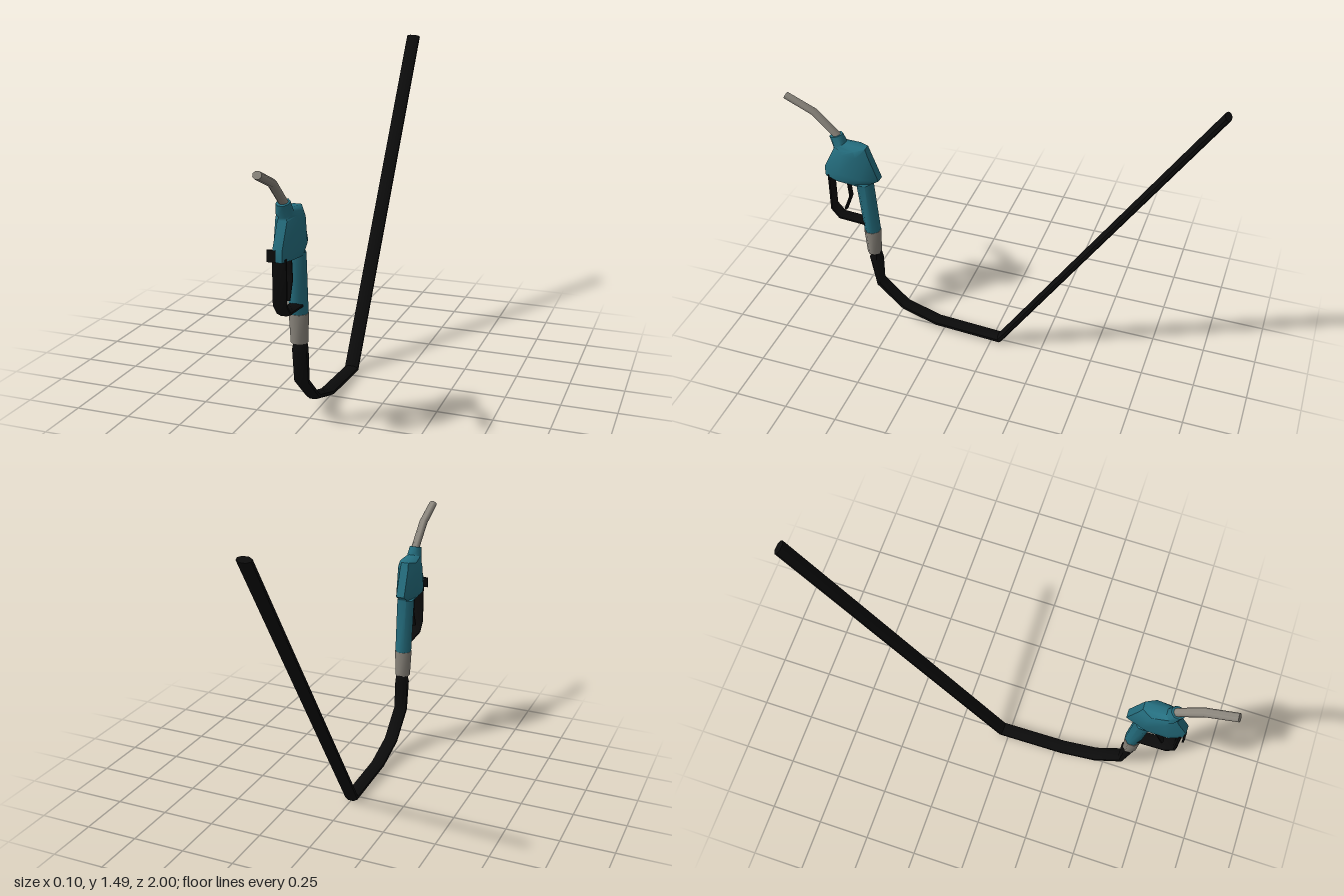
import * as THREE from 'three';
import { toCreasedNormals } from 'three/addons/utils/BufferGeometryUtils.js';

const SIDES = 8;

// Skin a row of octagonal rings. Each ring: [frontZ, frontY, backZ, backY, halfWidth]
function loft(name, rings, material, crease = 0.9) {
  const pos = [], index = [];
  const k = 1 / Math.cos(Math.PI / SIDES);
  for (const [fz, fy, bz, by, hx] of rings) {
    for (let j = 0; j < SIDES; j++) {
      const a = ((j + 0.5) / SIDES) * Math.PI * 2;
      const t = (Math.cos(a) * k) / 2;
      pos.push(Math.sin(a) * k * hx, (fy + by) / 2 + (fy - by) * t, (fz + bz) / 2 + (fz - bz) * t);
    }
  }
  for (let i = 0; i < rings.length - 1; i++) {
    for (let j = 0; j < SIDES; j++) {
      const a = i * SIDES + j, b = i * SIDES + ((j + 1) % SIDES);
      index.push(a, b, b + SIDES, a, b + SIDES, a + SIDES);
    }
  }
  // End caps
  const last = (rings.length - 1) * SIDES;
  for (let j = 1; j < SIDES - 1; j++) {
    index.push(0, j + 1, j, last, last + j, last + j + 1);
  }
  const geo = new THREE.BufferGeometry();
  geo.setAttribute('position', new THREE.Float32BufferAttribute(pos, 3));
  geo.setIndex(index);
  const mesh = new THREE.Mesh(toCreasedNormals(geo, crease), material);
  mesh.name = name;
  return mesh;
}

// Mitred rings along a path in the side plane. Each point: [z, y, halfThickness, halfWidth]
function pathRings(points) {
  const dir = (p, q) => new THREE.Vector2(q[0] - p[0], q[1] - p[1]).normalize();
  return points.map((p, i) => {
    const d1 = dir(points[Math.max(i - 1, 0)], points[Math.max(i, 1)]);
    const n = points.length - 1;
    const d2 = dir(points[Math.min(i, n - 1)], points[Math.min(i + 1, n)]);
    const d = d1.clone().add(d2).normalize();
    const t = p[2] / d.dot(d1);
    return [p[0] + d.y * t, p[1] - d.x * t, p[0] - d.y * t, p[1] + d.x * t, p[3]];
  });
}

export function createModel() {
  const mat = (name, color) => {
    const m = new THREE.MeshStandardMaterial({ color });
    m.name = name;
    return m;
  };
  const teal = mat('teal', 0x256f80);
  const black = mat('black', 0x0b0b0b);
  const metal = mat('metal', 0x8a857c);

  const model = new THREE.Group();
  model.name = 'fuelNozzle';

  // Grip flowing into the wide housing and the spout neck
  model.add(loft('gripAndHousing', [
    [0.642, 0.522, 0.571, 0.522, 0.037],
    [0.667, 0.785, 0.592, 0.795, 0.039],
    [0.82, 0.803, 0.59, 0.803, 0.046],
    [0.82, 0.855, 0.55, 0.828, 0.05],
    [0.768, 0.958, 0.595, 0.95, 0.05],
    [0.766, 0.965, 0.608, 0.99, 0.044],
    [0.768, 0.972, 0.71, 1.0, 0.034],
    [0.785, 1.023, 0.725, 1.04, 0.027],
  ], teal));

  // Metal collar under the grip
  model.add(loft('collar', [
    [0.636, 0.393, 0.574, 0.393, 0.034],
    [0.645, 0.525, 0.57, 0.525, 0.039],
  ], metal));

  // Bent spout
  model.add(loft('spout', pathRings([
    [0.735, 1.015, 0.016, 0.019],
    [0.858, 1.132, 0.016, 0.019],
    [0.993, 1.193, 0.016, 0.018],
  ]), metal));

  // Hand guard and trigger
  model.add(loft('handGuard', pathRings([
    [0.8, 0.815, 0.01, 0.03],
    [0.8, 0.62, 0.01, 0.03],
    [0.763, 0.575, 0.01, 0.03],
    [0.625, 0.566, 0.01, 0.03],
  ]), black));
  model.add(loft('trigger', pathRings([
    [0.715, 0.81, 0.007, 0.016],
    [0.706, 0.7, 0.007, 0.016],
    [0.737, 0.62, 0.007, 0.016],
  ]), black));

  // Small dark plate on the lower front of the housing
  const plate = new THREE.Mesh(new THREE.BoxGeometry(0.038, 0.05, 0.008), black);
  plate.name = 'guardMount';
  plate.position.set(-0.026, 0.828, 0.818);
  model.add(plate);

  // Hose with its thicker sleeve below the collar
  model.add(loft('hose', pathRings([
    [0.593, 0.4, 0.019, 0.026],
    [0.597, 0.36, 0.031, 0.032],
    [0.583, 0.212, 0.018, 0.032],
    [0.455, 0.09, 0.016, 0.032],
    [0.285, 0.035, 0.016, 0.032],
    [-0.04, 0.017, 0.016, 0.032],
    [-0.985, 1.481, 0.016, 0.032],
  ]), black));

  return model;
}
